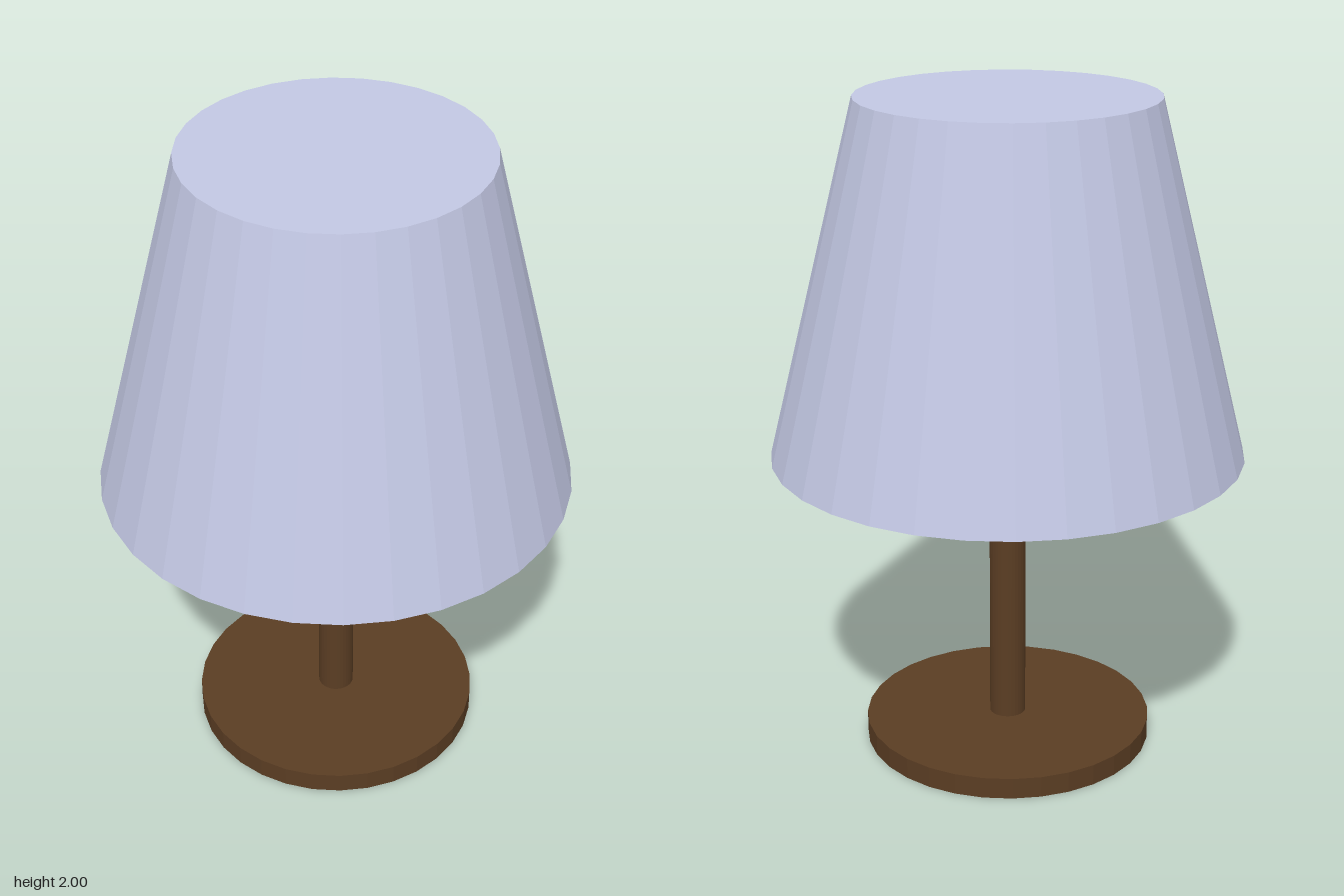
import * as THREE from 'three';

export function createModel() {
  const lamp = new THREE.Group();
  lamp.name = 'tableLamp';

  const wood = new THREE.MeshStandardMaterial({ color: 0x5a3d23, flatShading: true });
  wood.name = 'dark wood';
  const fabric = new THREE.MeshStandardMaterial({ color: 0xc3c8e4, flatShading: true, side: THREE.DoubleSide });
  fabric.name = 'pale lavender';

  const SIDES = 32;
  const add = (name, geometry, material, y = 0) => {
    const mesh = new THREE.Mesh(geometry, material);
    mesh.name = name;
    mesh.position.y = y;
    lamp.add(mesh);
  };
  // Upright cylinder or cone between two heights
  const turned = (name, rTop, rBottom, y0, y1, material, open = false) =>
    add(name, new THREE.CylinderGeometry(rTop, rBottom, y1 - y0, SIDES, 1, open), material, (y0 + y1) / 2);

  // Foot and stem
  turned('base', 0.44, 0.44, 0, 0.065, wood);
  turned('stem', 0.055, 0.055, 0.065, 1.19, wood);

  // Socket collar with a tapered underside, and the bulb seated in it
  const collar = [[0.05, 1.168], [0.085, 1.175], [0.117, 1.2], [0.117, 1.23], [0, 1.23]]
    .map(([r, y]) => new THREE.Vector2(r, y));
  add('socket', new THREE.LatheGeometry(collar, SIDES), fabric);
  add('bulb', new THREE.SphereGeometry(0.22, SIDES, 16), fabric, 1.395);

  // Shade: open below, closed on top
  turned('shade', 0.44, 0.707, 0.935, 2, fabric, true);
  const lid = new THREE.CircleGeometry(0.44, SIDES).rotateX(-Math.PI / 2);
  add('shadeTop', lid, fabric, 2);

  return lamp;
}
